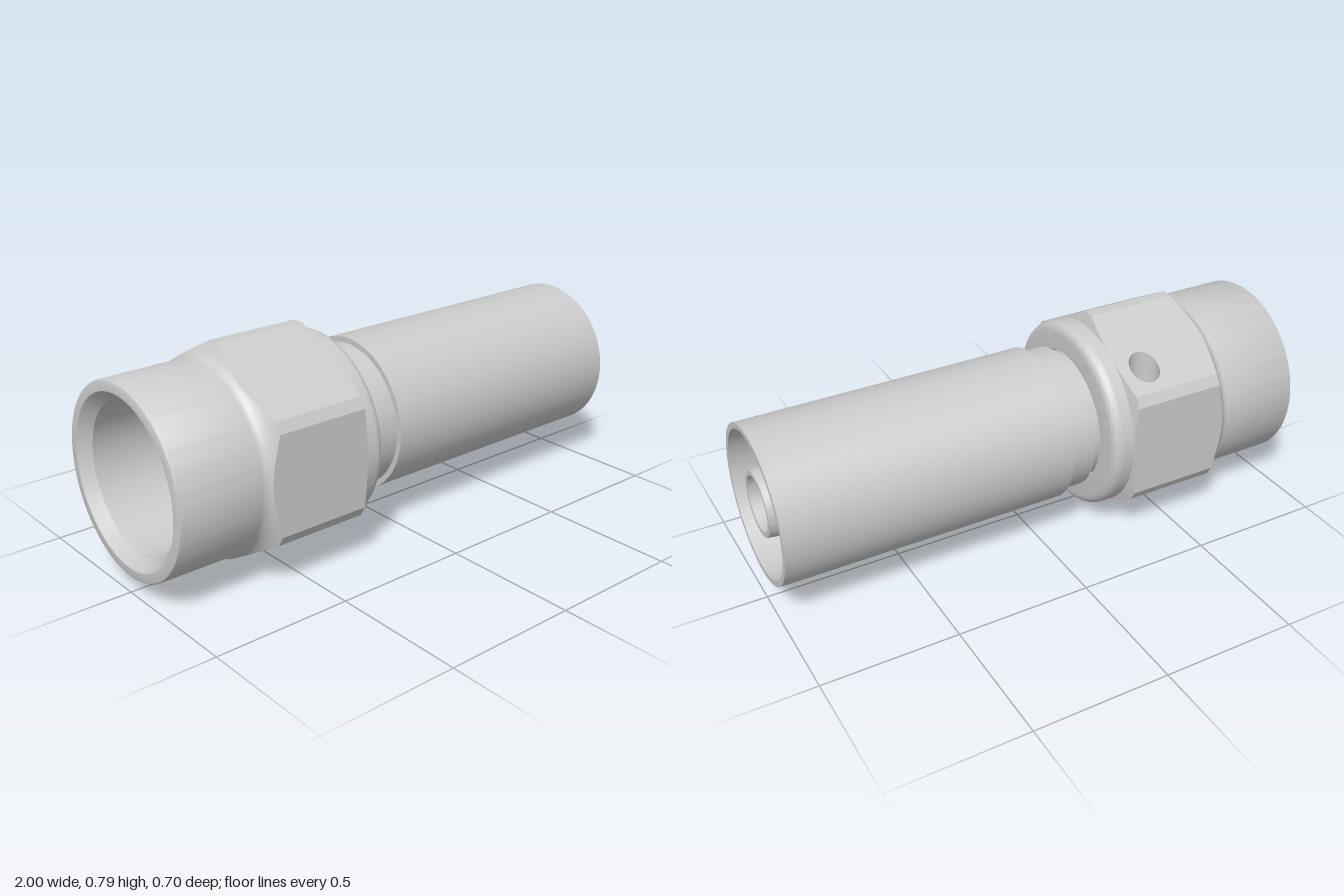
import * as THREE from 'three';
import { toCreasedNormals } from 'three/addons/utils/BufferGeometryUtils.js';

const AXIS_Y = 0.394;
const FLAT = 0.352, CORNER = 0.394; // distance of hex flats and trimmed corners from the axis
const HOLE = { x: -0.38, z: -0.24, r: 0.056, floor: 0.1 };
const material = new THREE.MeshStandardMaterial({ color: 0xcccccc, side: THREE.DoubleSide });

function mesh(name, geometry) {
  const m = new THREE.Mesh(geometry, material);
  m.name = name;
  return m;
}

// Turned part: profile points are [x, radius], bore first, then outside
function turned(name, profile) {
  const g = new THREE.LatheGeometry(profile.map(([x, r]) => new THREE.Vector2(r, x)), 96);
  g.rotateZ(-Math.PI / 2);
  return mesh(name, toCreasedNormals(g, 0.5));
}

// Where the turned ends of the hex cut a given radius
const leftX = (r) => -0.695 + 0.06 * Math.sqrt(Math.max(0, (r - 0.338) / 0.056));
const rightX = (r) => -0.278 - 0.3 * (r - FLAT);

// Twelve facets: six wide flats alternating with six narrow trimmed corners
const vertexR = FLAT / Math.cos(Math.PI / 6);
const cornerHalf = (vertexR - CORNER) * Math.sqrt(3);
const flatHalf = vertexR / 2 - Math.hypot(vertexR - CORNER, cornerHalf);
const facets = Array.from({ length: 12 }, (_, k) => {
  const isFlat = k % 2 === 1, half = isFlat ? flatHalf : cornerHalf, n = isFlat ? 24 : 4;
  return {
    phi: k * Math.PI / 6,
    d: isFlat ? FLAT : CORNER,
    ts: Array.from({ length: n + 1 }, (_, i) => half * (2 * i / n - 1)),
    drilled: k === 11,
  };
});

// One side of the hex, bounded by the curves left by the turned ends
function hexFacet({ phi, d, ts, drilled }) {
  const left = ts.map((t) => new THREE.Vector2(leftX(Math.hypot(d, t)), t));
  const right = ts.map((t) => new THREE.Vector2(rightX(Math.hypot(d, t)), t));
  const shape = new THREE.Shape([...right, ...left.reverse()]);
  const c = Math.cos(phi), s = Math.sin(phi);
  if (drilled) {
    const hole = new THREE.Path();
    hole.absellipse(HOLE.x, (d * s - HOLE.z) / c, HOLE.r, HOLE.r / c, 0, Math.PI * 2, true);
    shape.holes.push(hole);
  }
  const g = new THREE.ShapeGeometry(shape, 24);
  const normal = new THREE.Vector3(0, c, s);
  g.applyMatrix4(new THREE.Matrix4()
    .makeBasis(new THREE.Vector3(1, 0, 0), new THREE.Vector3(0, s, -c), normal)
    .setPosition(normal.clone().multiplyScalar(d)));
  return mesh('hexFacet', g);
}

// Turned shoulder running from a round base out to the hex outline
function hexShoulder(name, baseR, xOf, facesRight) {
  const ring = facets.flatMap(({ phi, d, ts }) =>
    ts.slice(0, -1).map((t) => [phi + Math.atan2(t, d), Math.hypot(d, t)]));
  const n = ring.length, rows = 8, pos = [], index = [];
  for (let j = 0; j <= rows; j++) {
    for (const [a, outer] of ring) {
      const r = baseR + (outer - baseR) * (j / rows) ** 2;
      pos.push(xOf(r), r * Math.cos(a), r * Math.sin(a));
    }
  }
  for (let j = 0; j < rows; j++) {
    for (let i = 0; i < n; i++) {
      const k = (i + 1) % n;
      const a = j * n + i, b = a + n, c = (j + 1) * n + k, d = j * n + k;
      index.push(...(facesRight ? [a, b, c, a, c, d] : [a, c, b, a, d, c]));
    }
  }
  const g = new THREE.BufferGeometry();
  g.setAttribute('position', new THREE.Float32BufferAttribute(pos, 3));
  g.setIndex(index);
  g.computeVertexNormals();
  return mesh(name, g);
}

// Upright blind hole whose rim follows the sloping flat
function drilledHole() {
  const wall = new THREE.CylinderGeometry(HOLE.r, HOLE.r, 1, 48, 1, true);
  const p = wall.attributes.position;
  for (let i = 0; i < p.count; i++) {
    const z = p.getZ(i) + HOLE.z;
    const rim = (FLAT + 0.5 * z) / Math.cos(Math.PI / 6);
    p.setXYZ(i, p.getX(i) + HOLE.x, p.getY(i) > 0 ? rim : HOLE.floor, z);
  }
  const floor = new THREE.CircleGeometry(HOLE.r, 48);
  floor.rotateX(-Math.PI / 2).translate(HOLE.x, HOLE.floor, HOLE.z);
  const g = new THREE.Group();
  g.name = 'drilledHole';
  g.add(mesh('holeWall', wall), mesh('holeFloor', floor));
  return g;
}

export function createModel() {
  const model = new THREE.Group();
  model.name = 'hoseFitting';

  // Swivel nut: round socket, hex and rounded collar
  const nut = new THREE.Group();
  nut.name = 'swivelNut';
  const fillet = Array.from({ length: 9 }, (_, i) => {
    const a = (i / 8) * Math.PI / 2;
    return [-0.235 + 0.035 * Math.sin(a), 0.317 + 0.035 * Math.cos(a)];
  });
  nut.add(
    turned('nutSocket', [
      [-0.2, 0.25], [-0.26, 0.25], [-0.28, 0.262], [-0.96, 0.262], [-1, 0.3],
      [-1, 0.328], [-0.997, 0.335], [-0.99, 0.338], [-0.695, 0.338],
    ]),
    turned('nutCollar', [[-0.285, FLAT], ...fillet, [-0.2, 0.25]]),
    hexShoulder('leftShoulder', 0.338, leftX, false),
    hexShoulder('rightShoulder', FLAT, rightX, true),
    ...facets.map(hexFacet),
    drilledHole(),
  );

  // Nipple: through bore, cone seat, neck and tapered stem
  const nipple = turned('nipple', [
    [0.99, 0.1], [-0.52, 0.1], [-0.52, 0.14], [-0.4, 0.25], [-0.29, 0.25],
    [-0.27, 0.238], [-0.17, 0.238], [-0.17, 0.265], [-0.06, 0.265], [-0.06, 0.147],
    [0.74, 0.147], [0.99, 0.117], [0.99, 0.1],
  ]);

  // Crimp sleeve around the stem, with a flared bore
  const sleeve = turned('crimpSleeve', [
    [1, 0.264], [0, 0.222], [0, 0.14], [-0.07, 0.14], [-0.07, 0.285], [1, 0.285], [1, 0.264],
  ]);

  model.add(nut, nipple, sleeve);
  for (const part of model.children) part.position.y = AXIS_Y;
  return model;
}
